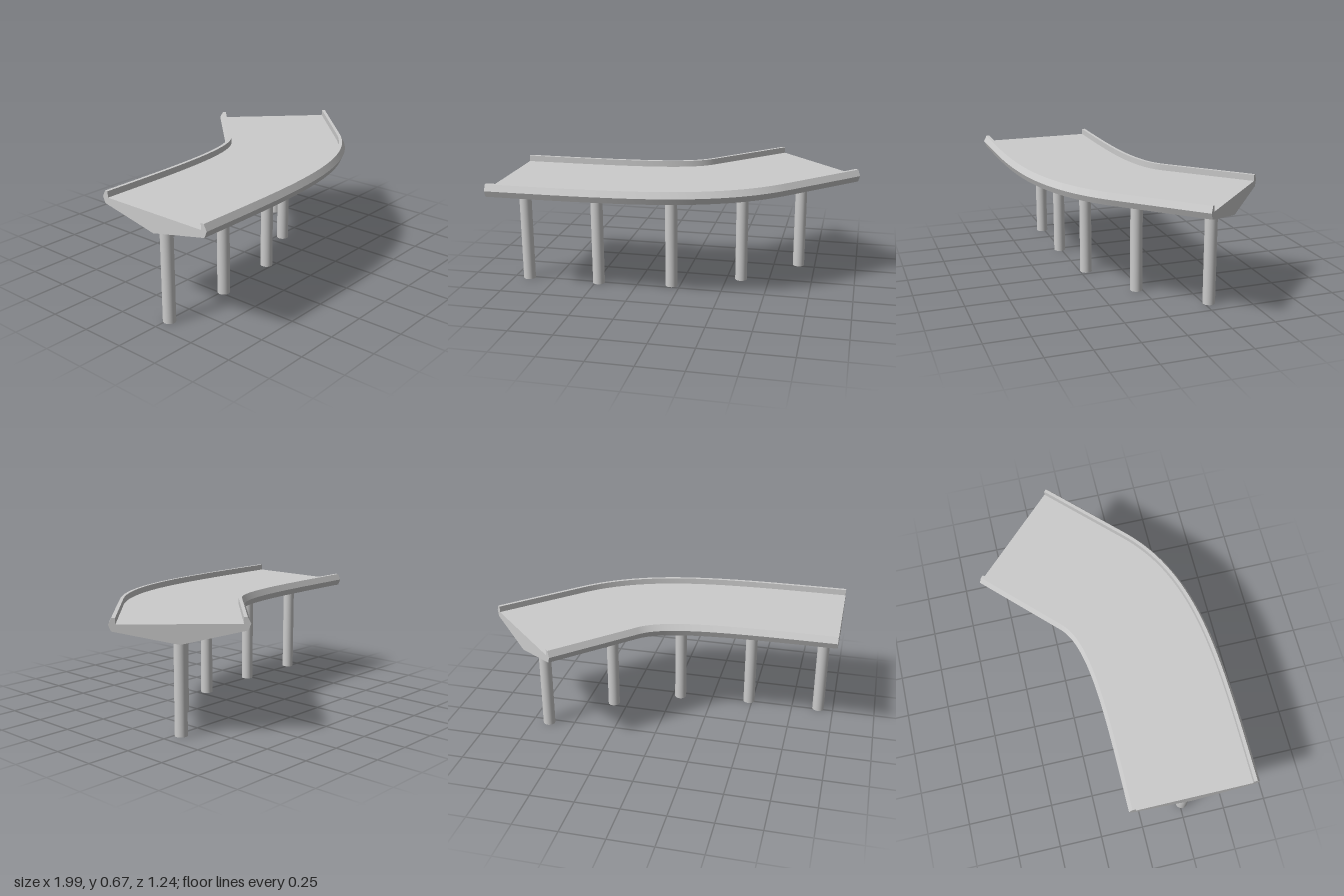
import * as THREE from 'three';
import { mergeGeometries } from 'three/addons/utils/BufferGeometryUtils.js';

const V = (x, z) => new THREE.Vector3(x, 0, z);

export function createModel() {
  const model = new THREE.Group();
  model.name = 'curvedBridge';
  const material = new THREE.MeshStandardMaterial({ color: 0xcccccc });
  const add = (name, geometry) => {
    const mesh = new THREE.Mesh(geometry, material);
    mesh.name = name;
    model.add(mesh);
    return mesh;
  };

  // Centreline on the ground plan: a bend followed by a straight run at 45 degrees
  const bend = new THREE.CubicBezierCurve3(V(-1, 0.26), V(-0.3, 0.26), V(0.11, 0.26), V(0.35, 0.02));
  const stations = [];
  for (let i = 0; i <= 40; i++) {
    stations.push({ p: bend.getPoint(i / 40), t: bend.getTangent(i / 40) });
  }
  stations.push({ p: V(0.74, -0.37), t: V(1, -1).normalize() });

  // Cross-section (offset, height), anticlockwise from the keel of the V-shaped underside
  const half = [[0.345, 0.597], [0.36, 0.632], [0.342, 0.667], [0.323, 0.667], [0.323, 0.632]];
  const profile = [[0, 0.525], ...half, ...half.map(([s, y]) => [-s, y]).reverse()];
  const place = ({ p, t }, [s, y]) => [p.x - t.z * s, y, p.z + t.x * s];

  // One strip per profile edge: smooth along the bridge, sharp across it
  const strip = (j) => {
    const positions = [], index = [];
    const a = profile[j], b = profile[(j + 1) % profile.length];
    stations.forEach((st, i) => {
      positions.push(...place(st, a), ...place(st, b));
      if (i === 0) return;
      const k = 2 * i - 2;
      index.push(k, k + 2, k + 1, k + 1, k + 2, k + 3);
    });
    const g = new THREE.BufferGeometry();
    g.setAttribute('position', new THREE.Float32BufferAttribute(positions, 3));
    g.setIndex(index);
    g.computeVertexNormals();
    return g;
  };
  const sweep = (name, edges) => add(name, mergeGeometries(edges.map(strip)));
  sweep('underside', [0, 10]);
  sweep('outerParapet', [1, 2, 3, 4]);
  sweep('deck', [5]);
  sweep('innerParapet', [6, 7, 8, 9]);

  // Flat end faces
  const cap = (name, station, flip) => {
    const g = new THREE.ShapeGeometry(new THREE.Shape(profile.map(([s, y]) => new THREE.Vector2(s, y))));
    const pos = g.attributes.position;
    for (let i = 0; i < pos.count; i++) {
      pos.setXYZ(i, ...place(station, [pos.getX(i), pos.getY(i)]));
    }
    if (flip) g.setIndex(Array.from(g.index.array).reverse());
    g.computeVertexNormals();
    add(name, g);
  };
  cap('startFace', stations[0], false);
  cap('endFace', stations[stations.length - 1], true);

  // Round piers under the centreline
  const pierHeight = 0.535;
  const pier = new THREE.CylinderGeometry(0.035, 0.035, pierHeight, 32);
  const piers = [[-0.91, 0.262], [-0.48, 0.257], [-0.05, 0.213], [0.335, 0.032], [0.65, -0.278]];
  piers.forEach(([x, z], i) => add(`pier${i + 1}`, pier).position.set(x, pierHeight / 2, z));

  return model;
}
